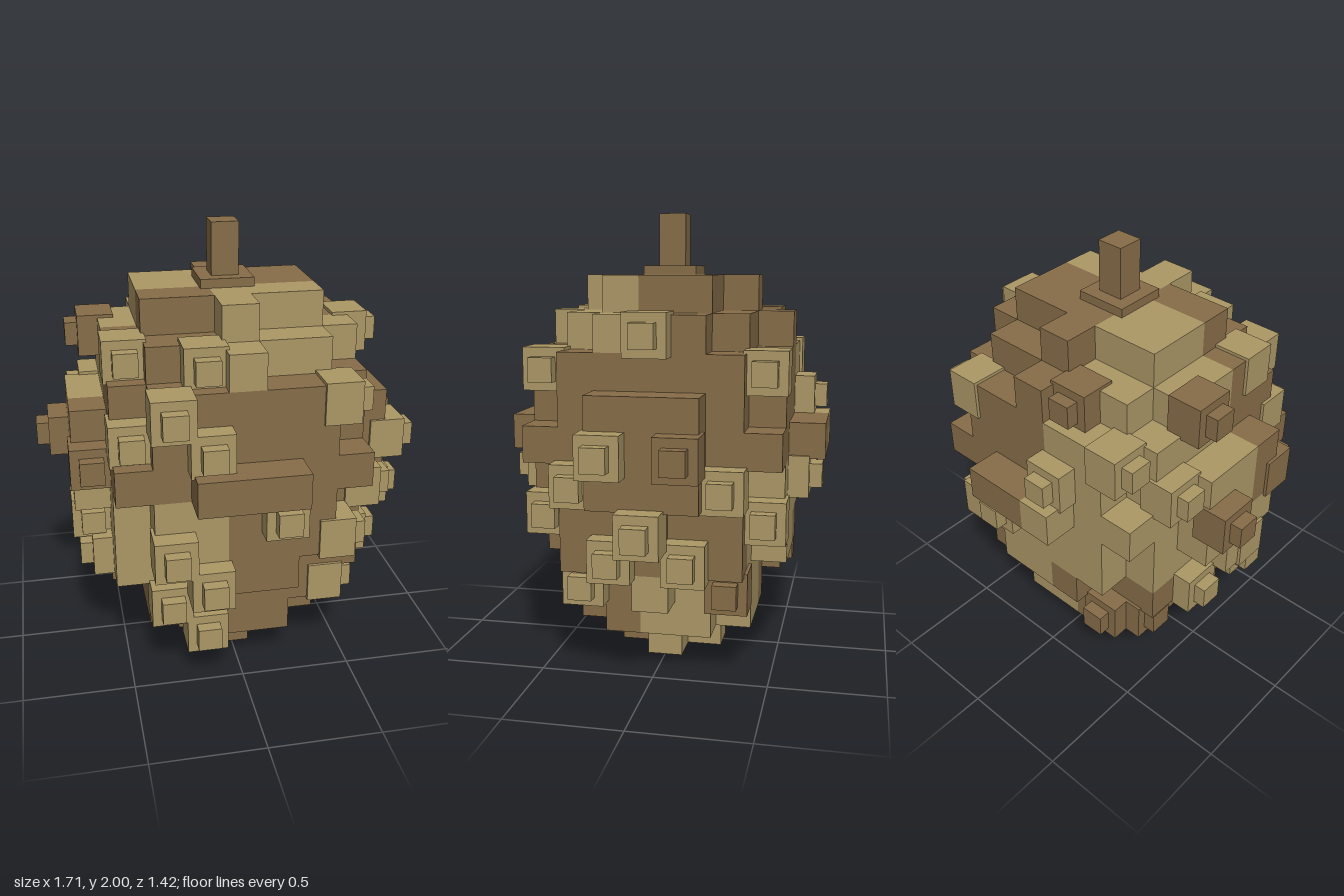
import * as THREE from 'three';
import { mergeGeometries } from 'three/addons/utils/BufferGeometryUtils.js';

const U = 0.1573; // edge of one block

// Half-widths in x (in blocks) for |z| = 0, 1, 2..., one row per layer from the bottom up
const ROWS = [
  [1, 0], [2, 2, 1], [3, 2, 2], [3, 3, 3, 1], [4, 3, 3, 2], [4, 4, 3, 2],
  [4, 4, 3, 3, 1], [4, 4, 3, 2], [3, 3, 3, 2], [3, 3, 2, 0], [2, 2, 0],
];

// Large patches of light and dark blocks, alternating by octant
function isLight(x, layer, z) {
  const left = x >= 0, front = z >= 1;
  if (left && front) return layer >= 9;
  if (!left && front) return layer >= 3 && layer <= 5;
  if (left) return layer <= 2 || (layer <= 5 && x <= 2);
  return layer >= 4;
}

// Distance from the axis to the body surface, in blocks
function surface(axis, across, layer) {
  const row = ROWS[layer], a = Math.abs(across);
  if (axis === 'x') return (row[a] ?? 0) + 0.5;
  let depth = 0;
  row.forEach((w, z) => { if (w >= a) depth = z; });
  return depth + 0.5;
}

// Spikes per side: [position across in blocks, layer, dark?]
const SPIKES = [
  { name: 'leftSpike', axis: 'x', sign: 1, list: [
    [0, 9], [3, 8], [-3, 8], [1, 6], [-1, 6, 1], [2, 5], [-2, 5], [3, 4], [0, 4], [-3, 4],
    [1, 3], [-1, 3], [2, 2], [-2, 2, 1]] },
  { name: 'rightSpike', axis: 'x', sign: -1, list: [
    [-1, 9, 1], [-3, 8], [-2, 7], [-1, 6, 1], [-1, 3], [1, 3], [-2, 2, 1]] },
  { name: 'frontSpike', axis: 'z', sign: 1, list: [
    [-1, 9], [-3, 9], [-2, 8], [-1, 7], [-3, 7], [-4, 6, 1], [1, 5], [-2, 4], [-4, 4],
    [-1, 3], [-2, 2], [-1, 1]] },
  { name: 'backSpike', axis: 'z', sign: -1, list: [
    [-1, 9, 1], [-1, 7], [1, 5], [-2, 2, 1]] },
];

export function createModel() {
  const model = new THREE.Group();
  model.name = 'blockCone';
  const light = new THREE.MeshStandardMaterial({ color: 0xac9866 });
  light.name = 'light tan';
  const dark = new THREE.MeshStandardMaterial({ color: 0x876d49 });
  dark.name = 'dark brown';

  const box = (w, h, d, x, y, z) => new THREE.BoxGeometry(w, h, d).translate(x, y, z);
  const add = (name, geometry, material, parent = model) => {
    const mesh = new THREE.Mesh(geometry, material);
    mesh.name = name;
    parent.add(mesh);
  };

  // Body: runs of equal colour along x become one box each
  const body = { light: [], dark: [] };
  ROWS.forEach((row, layer) => {
    for (let z = 1 - row.length; z < row.length; z++) {
      const w = row[Math.abs(z)];
      for (let start = -w, x = -w; x <= w; x++) {
        const c = isLight(x, layer, z);
        if (x < w && isLight(x + 1, layer, z) === c) continue;
        const n = x - start + 1;
        body[c ? 'light' : 'dark'].push(
          box(n * U, U, U, (start + x) / 2 * U, (layer + 0.5) * U, z * U));
        start = x + 1;
      }
    }
  });
  add('bodyLight', mergeGeometries(body.light), light);
  add('bodyDark', mergeGeometries(body.dark), dark);

  // Spikes: a block on the surface with a smaller tip
  for (const { name, axis, sign, list } of SPIKES) {
    for (const [across, layer, isDark] of list) {
      const spike = new THREE.Group();
      spike.name = name;
      const material = isDark ? dark : light;
      add('spikeBase', box(0.185, 0.185, 0.16, 0, 0, 0.01), material, spike);
      add('spikeTip', box(0.105, 0.105, 0.07, 0, 0, 0.11), material, spike);
      const out = sign * surface(axis, across, layer) * U;
      const y = (layer + 0.5) * U;
      if (axis === 'x') {
        spike.position.set(out, y, across * U);
        spike.rotation.y = sign * Math.PI / 2;
      } else {
        spike.position.set(across * U, y, out);
        spike.rotation.y = sign > 0 ? 0 : Math.PI;
      }
      model.add(spike);
    }
  }

  // Stem on a small plate
  add('stemPlate', box(0.236, 0.05, 0.236, 0, 1.745, 0), dark);
  add('stem', box(0.12, 0.24, 0.12, 0, 1.88, 0), dark);
  return model;
}
